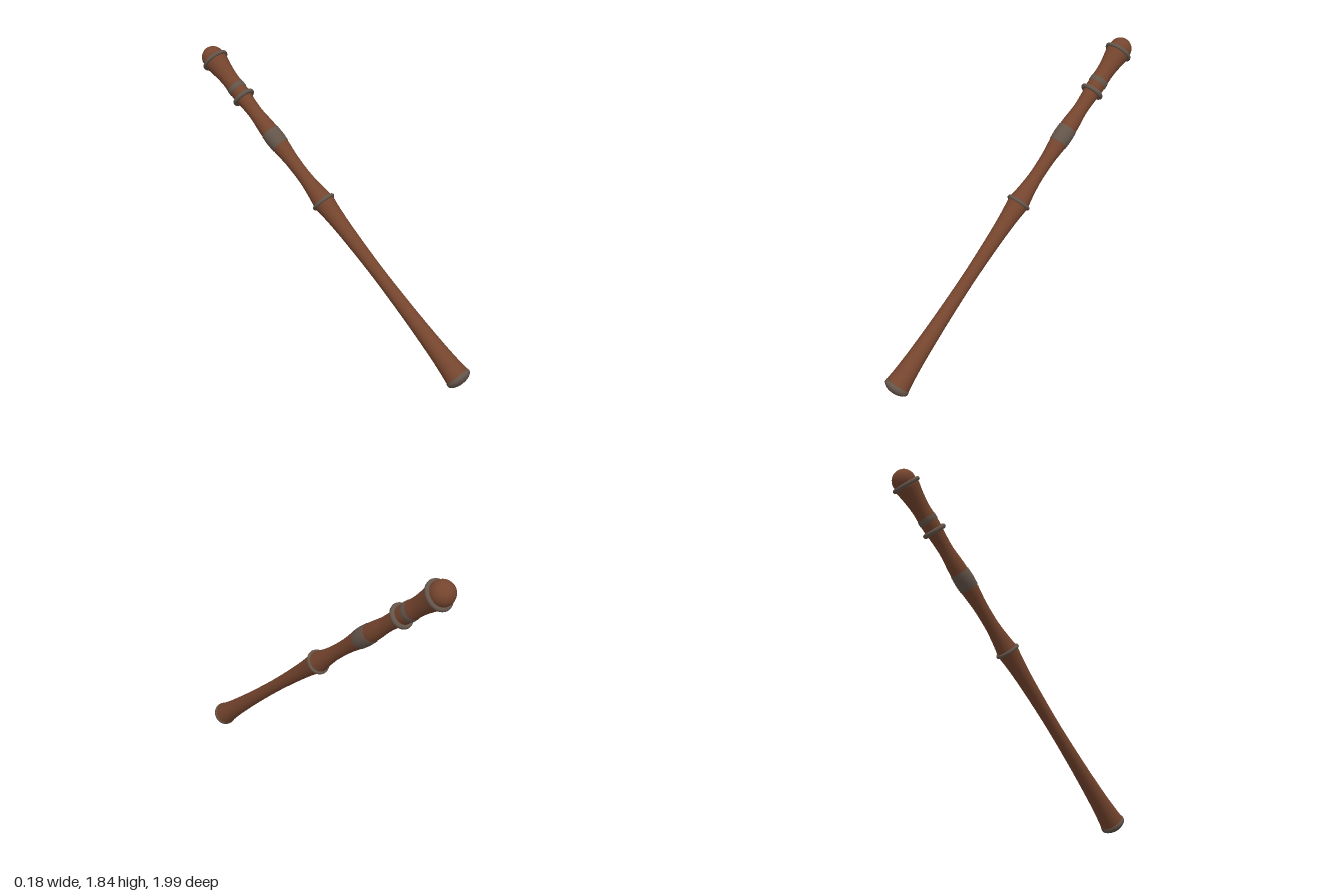
import * as THREE from 'three';

export function createModel() {
  const wood = new THREE.MeshStandardMaterial({ color: 0x75452e });
  wood.name = 'reddish wood';
  const metal = new THREE.MeshStandardMaterial({ color: 0x64554a });
  metal.name = 'dull metal';

  const model = new THREE.Group();
  model.name = 'staff';
  // Everything is turned around the staff's own axis, then leaned backwards
  const staff = new THREE.Group();
  staff.name = 'leaningStaff';
  staff.position.set(0, 0.06, 0.945);
  staff.rotation.x = -0.831;
  model.add(staff);

  const add = (name, geometry, material, t = 0) => {
    const mesh = new THREE.Mesh(geometry, material);
    mesh.name = name;
    mesh.position.y = t;
    staff.add(mesh);
    return mesh;
  };
  const lathe = (pts) => new THREE.LatheGeometry(pts.map(([r, t]) => new THREE.Vector2(r, t)), 32);
  const smooth = (pts, n) => new THREE.SplineCurve(pts.map(([r, t]) => new THREE.Vector2(r, t)))
    .getPoints(n).map((p) => [p.x, p.y]);

  // Lower shaft, flared at the foot and at the middle ring
  add('lowerShaft', lathe(smooth([
    [0.076, 0.03], [0.066, 0.12], [0.056, 0.26], [0.046, 0.5], [0.041, 0.8],
    [0.047, 1.08], [0.056, 1.24], [0.068, 1.35],
  ], 40)), wood);

  // Upper shaft with a swelling grip and a trumpet-shaped top
  add('upperShaft', lathe(smooth([
    [0.068, 1.35], [0.056, 1.42], [0.044, 1.54], [0.045, 1.68], [0.055, 1.79],
    [0.058, 1.86], [0.055, 1.95], [0.046, 2.06], [0.049, 2.15], [0.055, 2.22],
    [0.056, 2.28], [0.055, 2.35], [0.062, 2.42], [0.076, 2.5],
  ], 60).concat([[0.07, 2.525]])), wood);

  // Rounded knob
  add('knob', new THREE.SphereGeometry(0.072, 32, 20), wood, 2.537);

  // Shallow domed foot cap
  add('footCap', lathe([
    [0, -0.022], [0.03, -0.019], [0.055, -0.011], [0.07, -0.001],
    [0.079, 0.008], [0.081, 0.018], [0.079, 0.03], [0.07, 0.037],
  ]), metal);

  // Metal rings: name, distance along the axis, outer radius, thickness radius
  for (const [name, t, outer, tube] of [
    ['middleRing', 1.35, 0.079, 0.012],
    ['collarRing', 2.2, 0.076, 0.015],
    ['topRing', 2.512, 0.09, 0.013],
  ]) {
    const ring = new THREE.TorusGeometry(outer - tube, tube, 12, 36);
    ring.rotateX(Math.PI / 2);
    add(name, ring, metal, t);
  }

  // Flat metal bands wrapped around the grip
  add('gripBand', lathe([
    [0.052, 1.8], [0.059, 1.802], [0.062, 1.855], [0.06, 1.913], [0.053, 1.915],
  ]), metal);
  add('collarBand', lathe([
    [0.053, 2.258], [0.059, 2.26], [0.059, 2.292], [0.053, 2.294],
  ]), metal);

  return model;
}
